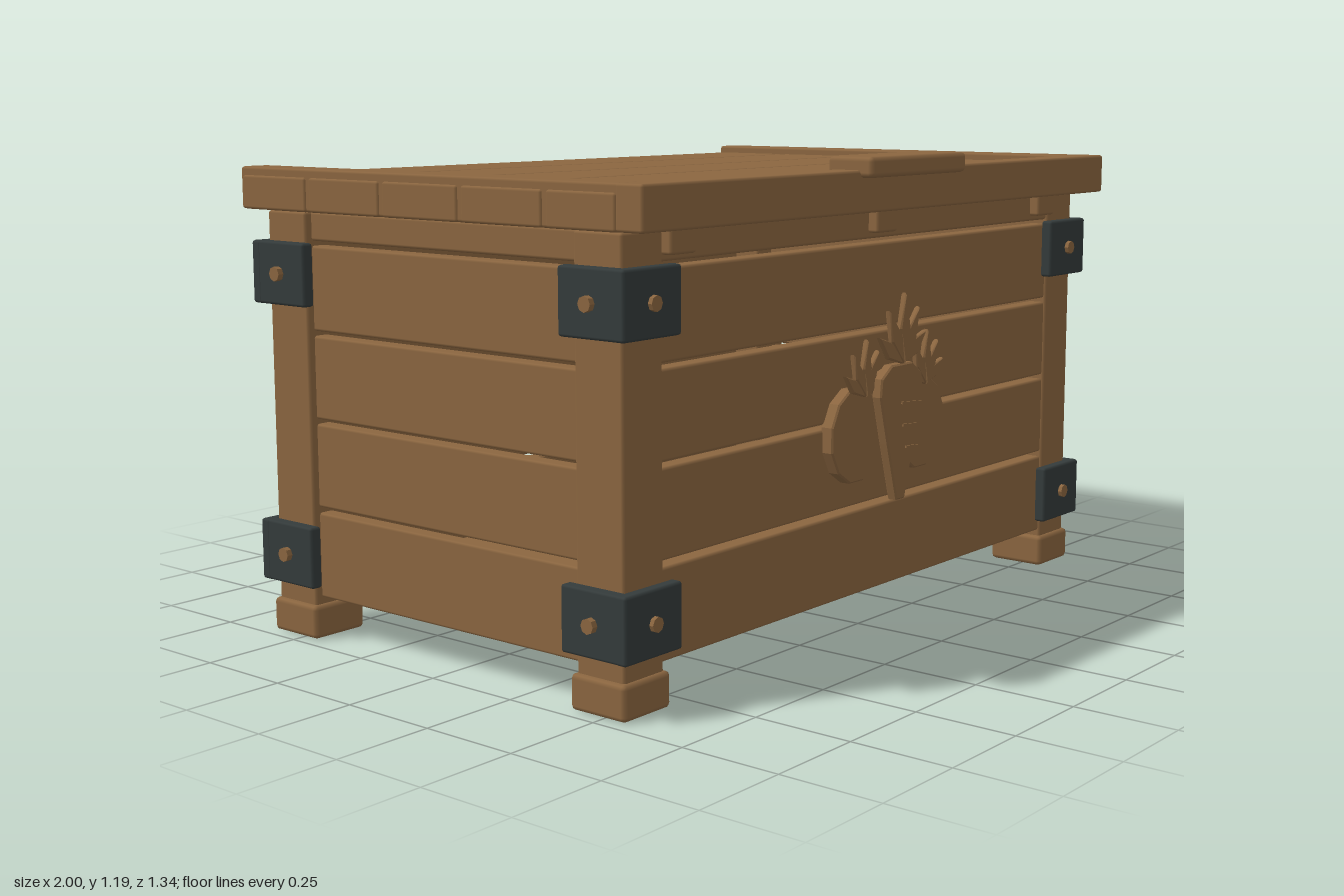
import * as THREE from 'three';
import { RoundedBoxGeometry } from 'three/addons/geometries/RoundedBoxGeometry.js';

const wood = new THREE.MeshStandardMaterial({ color: 0x8b6640 });
wood.name = 'wood';
const iron = new THREE.MeshStandardMaterial({ color: 0x343b3b });
iron.name = 'dark iron';

export function createModel() {
  const model = new THREE.Group();
  model.name = 'storageChest';

  // Box with softened edges, given by its min and max on each axis
  function block(name, [x0, x1], [y0, y1], [z0, z1], material = wood, bevel = 0.007) {
    const w = x1 - x0, h = y1 - y0, d = z1 - z0;
    const r = Math.min(bevel, w / 3, h / 3, d / 3);
    const mesh = new THREE.Mesh(new RoundedBoxGeometry(w, h, d, 1, r), material);
    mesh.position.set((x0 + x1) / 2, (y0 + y1) / 2, (z0 + z1) / 2);
    mesh.name = name;
    model.add(mesh);
    return mesh;
  }
  const around = (c, half) => [c - half, c + half];

  // Eight-sided stud pointing along x or z
  function stud(axis, x, y, z, radius, length) {
    const geo = new THREE.CylinderGeometry(radius, radius, length, 8).toNonIndexed();
    geo.computeVertexNormals();
    if (axis === 'x') geo.rotateZ(Math.PI / 2);
    else geo.rotateX(Math.PI / 2);
    const mesh = new THREE.Mesh(geo, wood);
    mesh.position.set(x, y, z);
    mesh.name = 'stud';
    model.add(mesh);
  }

  const midZ = -0.023;

  // Corner posts, feet, iron brackets and studs
  for (const sx of [-1, 1]) {
    for (const sz of [-1, 1]) {
      const px = sx * 0.891, pz = midZ + sz * 0.507;
      block('cornerPost', around(px, 0.066), [0.07, 1.06], around(pz, 0.069));
      block('foot', around(px, 0.078), [0.005, 0.09], around(pz, 0.08), wood, 0.012);
      for (const y of [0.215, 0.91]) {
        block('bracketFace', around(px, 0.095), around(y, 0.077), around(midZ + sz * 0.59, 0.016), iron);
        block('bracketSide', around(sx * 0.969, 0.016), around(y, 0.077), around(midZ + sz * 0.511, 0.095), iron);
        stud('z', px, y, midZ + sz * 0.602, 0.018, 0.03);
        stud('x', sx * 0.985, y, midZ + sz * 0.507, 0.018, 0.03);
      }
    }
  }

  // Wall planks and the rail above them, with narrow gaps
  const rows = [[0.106, 0.32], [0.334, 0.542], [0.554, 0.759], [0.771, 0.978], [0.99, 1.06]];
  for (const row of rows) {
    const name = row[0] > 0.9 ? 'topRail' : 'wallPlank';
    block(name, [-0.83, 0.83], row, [0.5, 0.548]);
    block(name, [-0.83, 0.83], row, [-0.59, -0.545]);
    for (const s of [-1, 1]) block(name, around(s * 0.915, 0.022), row, [-0.47, 0.425]);
  }

  // Floor boards
  for (let i = 0; i < 4; i++) {
    block('floorBoard', around((i - 1.5) * 0.412, 0.203), [0.108, 0.14], [-0.56, 0.51], wood, 0.004);
  }

  // Lid planks, end battens, front rail, crosspieces and handle
  const cuts = [-0.665, -0.42, -0.162, 0.096, 0.354, 0.565];
  for (let i = 0; i < 5; i++) {
    block('lidPlank', [-0.984, 0.984], [1.062, 1.145], [cuts[i] + 0.006, cuts[i + 1] - 0.006]);
  }
  for (const s of [-1, 1]) {
    block('lidEndBatten', around(s * 0.939, 0.04), [1.062, 1.165], [-0.67, 0.567]);
  }
  block('lidFrontRail', [-0.985, 0.985], [1.063, 1.165], [0.56, 0.635]);
  for (const x of [-0.78, 0, 0.78]) {
    block('lidCrosspiece', around(x, 0.044), [1.005, 1.07], [-0.615, 0.575]);
  }
  block('lidHandle', [-0.208, 0.208], [1.147, 1.197], [0.54, 0.668], wood, 0.012);

  // Hinges on the back
  for (const s of [-1, 1]) {
    block('hingePlate', around(s * 0.622, 0.094), [0.955, 1.055], [-0.625, -0.588], iron);
    for (const dx of [-0.045, 0.045]) stud('z', s * 0.622 + dx, 1.0, -0.624, 0.011, 0.014);
  }

  // Carved vegetable emblem
  function carving(name, points, z, depth) {
    const shape = new THREE.Shape(points.map(([x, y]) => new THREE.Vector2(x, y)));
    const geo = new THREE.ExtrudeGeometry(shape, {
      depth: depth - 0.008, bevelThickness: 0.004, bevelSize: 0.004, bevelOffset: -0.004, bevelSegments: 1,
    });
    const mesh = new THREE.Mesh(geo, wood);
    mesh.position.z = z + 0.004;
    mesh.name = name;
    model.add(mesh);
  }

  // Fan of pointed leaves spreading from a base point
  function leaves(x, y, length, z) {
    for (const [angle, scale, lift] of [[0.95, 0.72, 0], [-0.95, 0.72, 0], [0.45, 0.86, 0.003], [-0.45, 0.86, 0.003], [0, 1, 0.006]]) {
      const l = length * scale, w = length * 0.13;
      const outline = [[0, 0], [w, l * 0.5], [0, l], [-w, l * 0.5]].map(([u, v]) => [
        x + u * Math.cos(angle) + v * Math.sin(angle),
        y - u * Math.sin(angle) + v * Math.cos(angle),
      ]);
      carving('leaf', outline, z + lift, 0.016);
    }
  }

  for (const [cx, z] of [[-0.125, 0.562], [0.14, 0.575]]) {
    const ring = [];
    for (let i = 0; i < 12; i++) {
      const a = (i + 0.5) * Math.PI / 6;
      ring.push([cx + 0.108 * Math.cos(a), 0.518 + 0.12 * Math.sin(a)]);
    }
    carving('roundRoot', ring, z - 0.02, 0.036);
    leaves(cx, 0.615, 0.14, 0.586);
  }
  carving('carrot', [
    [-0.018, 0.345], [0.018, 0.345], [0.06, 0.49], [0.093, 0.61], [0.088, 0.655],
    [0.045, 0.685], [-0.045, 0.685], [-0.088, 0.655], [-0.093, 0.61], [-0.06, 0.49],
  ], 0.596, 0.028);
  leaves(0, 0.685, 0.175, 0.611);

  // Thin grooves in front of the carrot
  for (const [x, y, half] of [[-0.002, 0.592, 0.042], [-0.004, 0.537, 0.034], [0.002, 0.482, 0.026]]) {
    const mark = new THREE.Mesh(new THREE.BoxGeometry(half * 2, 0.006, 0.004), wood);
    mark.position.set(x, y, 0.652);
    mark.rotation.z = -0.08;
    mark.name = 'carrotGroove';
    model.add(mark);
  }

  return model;
}
